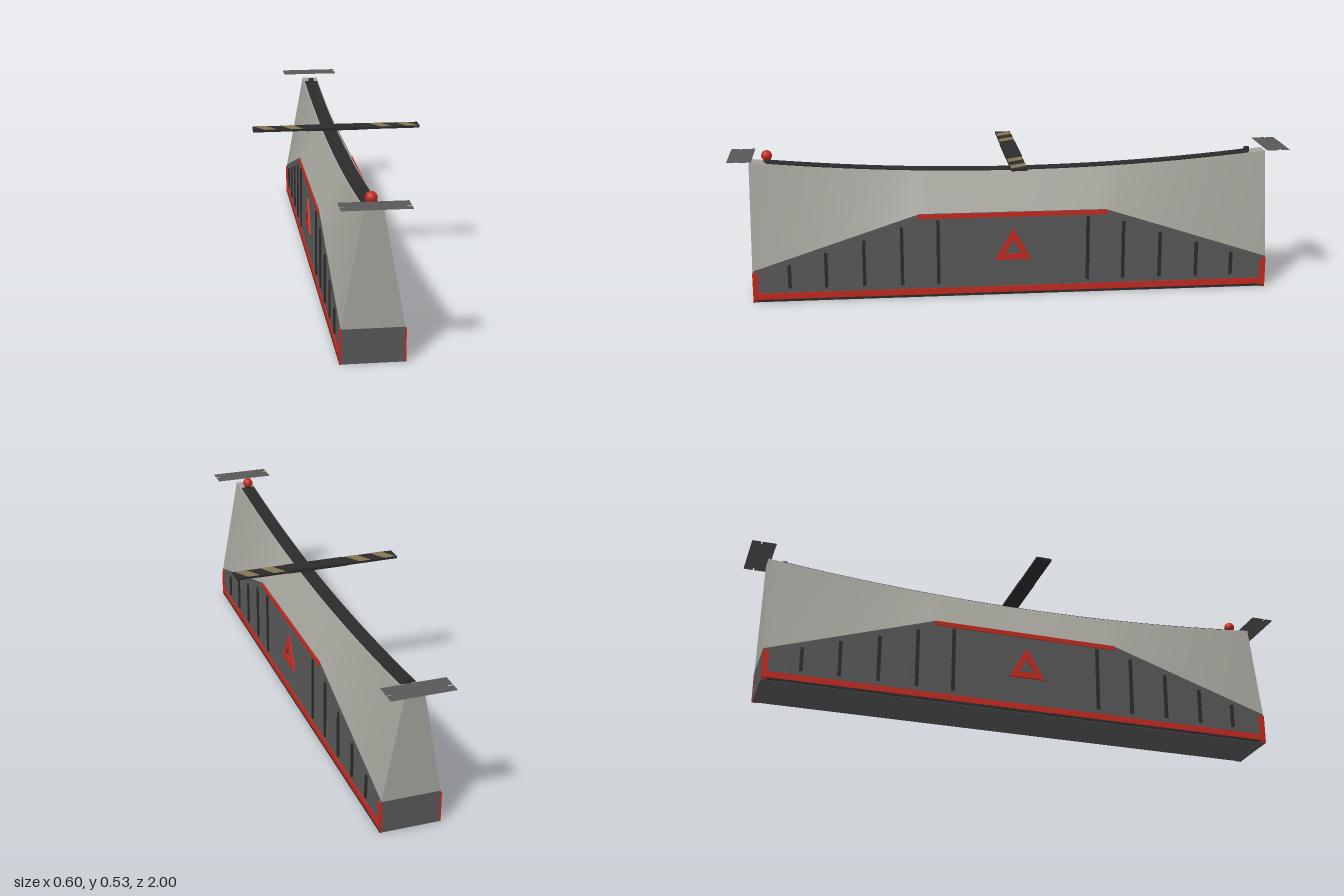
import * as THREE from 'three';

const mat = (name, color, side = THREE.FrontSide) => {
  const m = new THREE.MeshStandardMaterial({ color, side });
  m.name = name;
  return m;
};

// Height of the dark side wall and of the sagging ridge along the length
const END = 0.93, FLAT = 0.335;
const wallTop = z => 0.115 + 0.195 * Math.min(1, (END - Math.abs(z)) / (END - FLAT));
const ridge = z => 0.445 + 0.05 * (z / END) ** 2;

// Long box whose cross-section follows rules for bottom and top heights
function loft(length, halfBottom, halfTop, bottom, top) {
  const g = new THREE.BoxGeometry(2, 2, length, 1, 1, 50);
  const p = g.attributes.position;
  for (let i = 0; i < p.count; i++) {
    const up = p.getY(i) > 0, z = p.getZ(i);
    p.setX(i, p.getX(i) * (up ? halfTop : halfBottom));
    p.setY(i, up ? top(z) : bottom(z));
  }
  g.computeVertexNormals();
  return g;
}

export function createModel() {
  const root = new THREE.Group();
  root.name = 'barrier';
  const concrete = mat('light concrete', 0xa3a29a);
  const grey = mat('dark grey', 0x585858, THREE.DoubleSide);
  const red = mat('red', 0xc4291f);
  const black = mat('black', 0x2b2b2b);
  const tan = mat('faded yellow', 0x83754f);

  const add = (name, geo, material, x = 0, y = 0, z = 0, parent = root) => {
    const m = new THREE.Mesh(geo, material);
    m.name = name;
    m.position.set(x, y, z);
    parent.add(m);
    return m;
  };
  const box = (name, w, h, d, material, x, y, z, parent) =>
    add(name, new THREE.BoxGeometry(w, h, d), material, x, y, z, parent);

  // Body: straight base, tapering upper part and the strip on the ridge
  add('base', loft(2 * END, 0.1, 0.1, () => 0, wallTop), grey);
  add('upperBody', loft(2 * END, 0.1, 0.03, wallTop, ridge), concrete);
  add('ridgeStrip', loft(1.74, 0.025, 0.025, z => ridge(z) - 0.003, z => ridge(z) + 0.004), black);

  // Warning triangle with an open middle
  const triangle = new THREE.Shape([[-0.065, 0.133], [0.065, 0.133], [0, 0.247]].map(p => new THREE.Vector2(...p)));
  triangle.holes.push(new THREE.Path([[-0.031, 0.154], [0, 0.207], [0.031, 0.154]].map(p => new THREE.Vector2(...p))));
  const triangleGeo = new THREE.ExtrudeGeometry(triangle, { depth: 0.008, bevelEnabled: false });

  // Side trim, ribs and sign
  for (const s of [1, -1]) {
    const side = new THREE.Group();
    side.name = s > 0 ? 'leftTrim' : 'rightTrim';
    root.add(side);
    const x = s * 0.101;
    box('lowerTrim', 0.006, 0.022, 1.86, red, x, 0.021, 0, side);
    box('lowerEdge', 0.006, 0.008, 1.86, black, x, 0.006, 0, side);
    box('upperTrim', 0.006, 0.016, 0.68, red, x, 0.3, 0, side);
    for (const e of [1, -1]) {
      box('endTrim', 0.006, 0.108, 0.02, red, x, 0.054, e * 0.921, side);
      [[0.27, 0.285], [0.4, 0.263], [0.535, 0.218], [0.67, 0.177], [0.8, 0.135]].forEach(([z, top]) =>
        box('rib', 0.01, top - 0.05, 0.012, black, x, (top + 0.05) / 2, e * z, side));
    }
    add('warningTriangle', triangleGeo, red, s * 0.099, 0, 0, side).rotation.y = s * Math.PI / 2;
  }

  // Cross beam with diagonal stripes at both ends
  box('crossBeam', 0.6, 0.008, 0.056, black, 0, 0.512, 0);
  box('beamCentre', 0.22, 0.01, 0.058, black, 0, 0.512, 0);
  const stripe = new THREE.Shape([[-0.04, 0.028], [0.005, 0.028], [0.04, -0.028], [-0.005, -0.028]].reverse().map(p => new THREE.Vector2(...p)));
  const stripeGeo = new THREE.ShapeGeometry(stripe).rotateX(-Math.PI / 2);
  for (const x of [-0.255, -0.16, 0.16, 0.255]) add('beamStripe', stripeGeo, tan, x, 0.5168, 0);

  // Thin end plates with a small slit in each short side
  const plate = new THREE.Shape([
    [-0.108, -0.0425], [0.108, -0.0425], [0.108, -0.01], [0.092, -0.01], [0.092, -0.006], [0.108, -0.006],
    [0.108, 0.0425], [-0.108, 0.0425], [-0.108, -0.006], [-0.092, -0.006], [-0.092, -0.01], [-0.108, -0.01],
  ].map(p => new THREE.Vector2(...p)));
  const plateGeo = new THREE.ShapeGeometry(plate).rotateX(-Math.PI / 2);
  for (const e of [1, -1]) {
    add('endPlate', plateGeo, grey, 0, 0.514, e * 0.9575).rotation.y = e > 0 ? 0 : Math.PI;
    add('lampPost', new THREE.CylinderGeometry(0.01, 0.012, 0.02, 16), black, 0, 0.495, e * 0.868);
  }
  add('lamp', new THREE.SphereGeometry(0.019, 24, 16), red, 0, 0.513, 0.868);

  return root;
}
